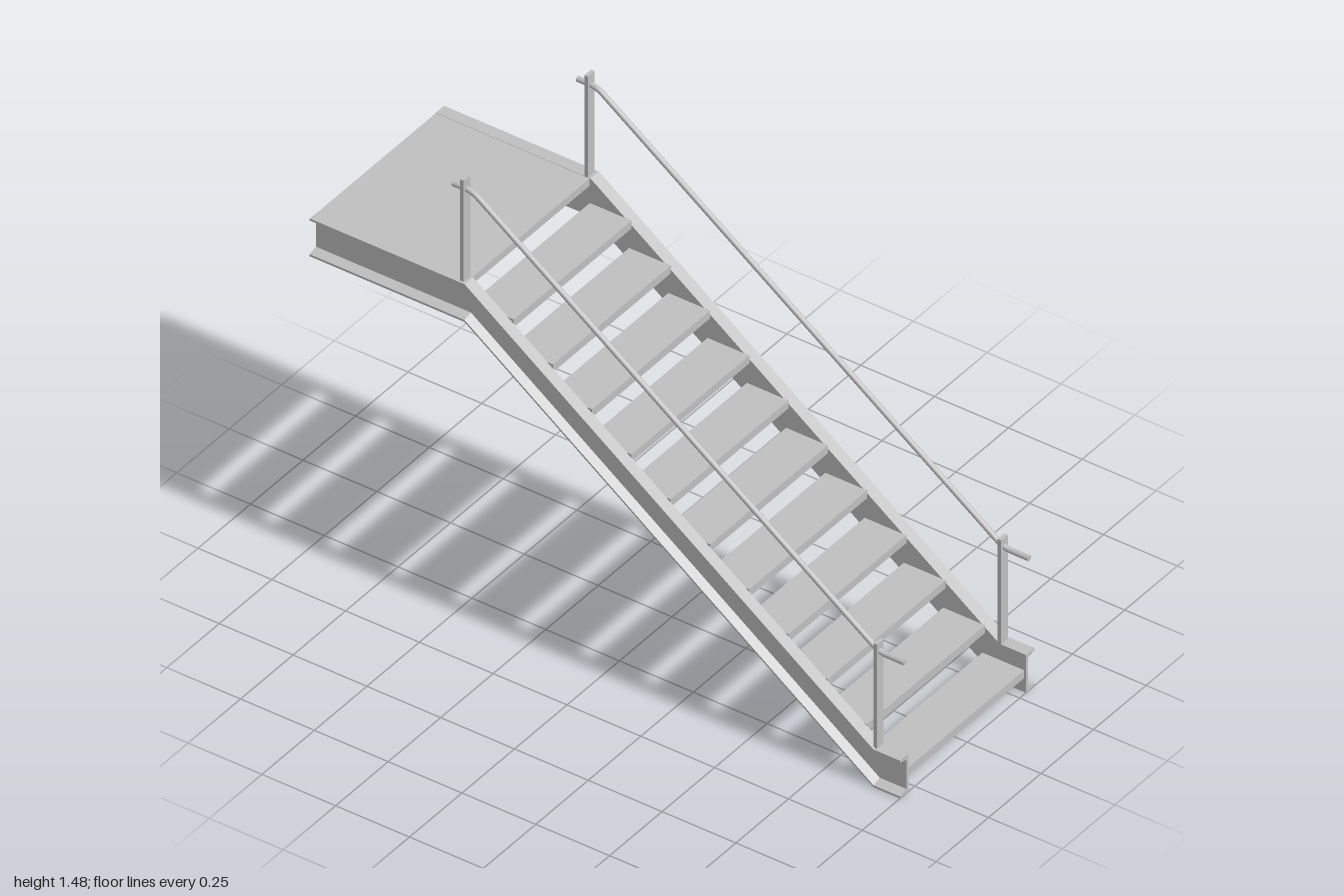
import * as THREE from 'three';

const steel = new THREE.MeshStandardMaterial({ color: 0xbfbfbf });
steel.name = 'grey steel';

function add(parent, geometry, name, x = 0, y = 0, z = 0) {
  const mesh = new THREE.Mesh(geometry, steel);
  mesh.name = name;
  mesh.position.set(x, y, z);
  parent.add(mesh);
  return mesh;
}
const box = (w, h, d) => new THREE.BoxGeometry(w, h, d);

// Channel section, open to the outside, swept along landing, flight and foot
function stringerGeometry(side) {
  const profile = [
    [0.28, 0], [0.32, 0], [0.32, 0.007], [0.29, 0.015],
    [0.29, 0.115], [0.32, 0.123], [0.32, 0.13], [0.28, 0.13],
  ];
  const shape = new THREE.Shape(profile.map(([z, y]) => new THREE.Vector2(-side * z, y)));
  const geo = new THREE.ExtrudeGeometry(shape, { depth: 3, steps: 3, bevelEnabled: false });
  const stations = [[-1, 1.003], [-0.475, 1.003], [0.91, 0], [1, 0]];
  const p = geo.attributes.position;
  for (let i = 0; i < p.count; i++) {
    const [x, lift] = stations[Math.round(p.getZ(i))];
    p.setXYZ(i, x, p.getY(i) + lift, -p.getX(i));
  }
  geo.computeVertexNormals();
  return geo;
}

// Round handrail: level ends joined by a sloping run with eased bends
function handrailPath() {
  const v = (x, y) => new THREE.Vector3(x, y, 0);
  const a = v(-0.53, 1.443), b = v(-0.465, 1.443), c = v(0.915, 0.453), d = v(1, 0.453);
  const near = (from, to) => from.clone().add(to.clone().sub(from).setLength(0.025));
  const path = new THREE.CurvePath();
  path.add(new THREE.LineCurve3(a, near(b, a)));
  path.add(new THREE.QuadraticBezierCurve3(near(b, a), b, near(b, c)));
  path.add(new THREE.LineCurve3(near(b, c), near(c, b)));
  path.add(new THREE.QuadraticBezierCurve3(near(c, b), c, near(c, d)));
  path.add(new THREE.LineCurve3(near(c, d), d));
  return path;
}

export function createModel() {
  const model = new THREE.Group();
  model.name = 'staircase';

  // Both sides: stringer, posts and handrail
  for (const side of [1, -1]) {
    const label = side > 0 ? 'left' : 'right';
    add(model, stringerGeometry(side), label + 'Stringer');

    const railing = new THREE.Group();
    railing.name = label + 'Railing';
    railing.position.z = side * 0.296;
    model.add(railing);
    add(railing, box(0.012, 0.35, 0.032), 'upperPost', -0.49, 1.305);
    add(railing, box(0.012, 0.36, 0.032), 'lowerPost', 0.91, 0.308);
    add(railing, new THREE.TubeGeometry(handrailPath(), 120, 0.009, 12), 'handrail');
    const cap = new THREE.CircleGeometry(0.009, 12);
    add(railing, cap, 'upperRailEnd', -0.53, 1.443).rotation.y = -Math.PI / 2;
    add(railing, cap, 'lowerRailEnd', 1, 0.453).rotation.y = Math.PI / 2;
  }

  // Treads: folded plates with a lip at the front and back
  for (let i = 0; i < 11; i++) {
    const tread = new THREE.Group();
    tread.name = 'tread' + (i + 1);
    tread.position.set(0.923 - i * 0.133, 0.075 + i * 0.0973, 0);
    model.add(tread);
    add(tread, box(0.141, 0.007, 0.562), 'treadPlate', 0, -0.0035);
    for (const s of [1, -1]) add(tread, box(0.007, 0.02, 0.562), 'treadLip', s * 0.067, -0.017);
  }

  // Landing: deck plate and closing plate at its far end, open underneath
  add(model, box(0.52, 0.025, 0.562), 'landingDeck', -0.738, 1.1195);
  add(model, box(0.01, 0.129, 0.562), 'landingEndPlate', -0.9945, 1.0675);

  return model;
}
